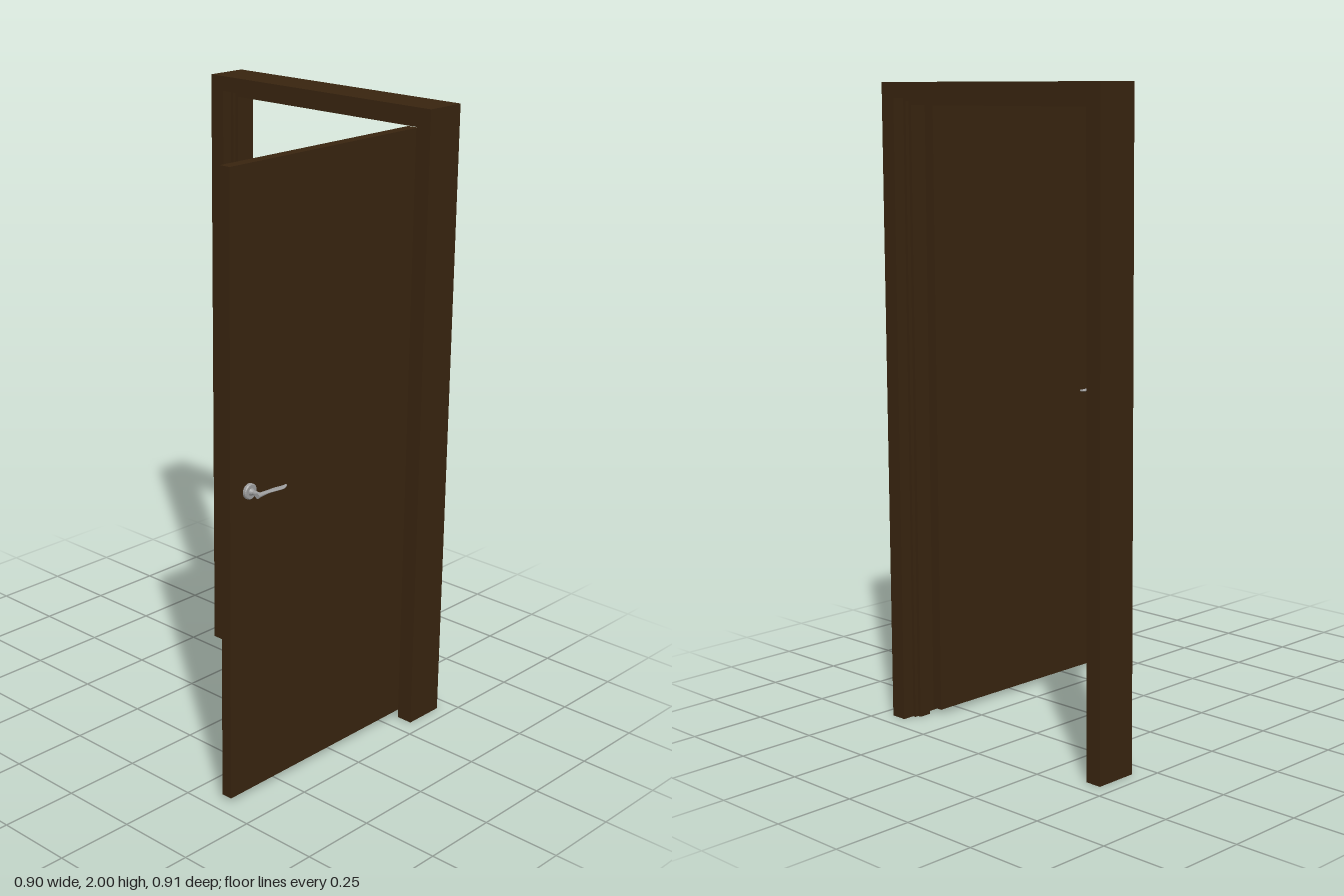
import * as THREE from 'three';

const wood = new THREE.MeshStandardMaterial({ color: 0x38240f });
wood.name = 'dark wood';
const steel = new THREE.MeshStandardMaterial({ color: 0x9c9c9c });
steel.name = 'brushed steel';

function add(parent, name, geometry, material) {
  const mesh = new THREE.Mesh(geometry, material);
  mesh.name = name;
  parent.add(mesh);
  return mesh;
}

// Upside-down U in the z-y plane, extruded along x from x0 to x1
function portal(outer, top, inner, innerTop, x0, x1) {
  const shape = new THREE.Shape([
    [-outer, 0], [-inner, 0], [-inner, innerTop], [inner, innerTop],
    [inner, 0], [outer, 0], [outer, top], [-outer, top],
  ].map(([a, b]) => new THREE.Vector2(a, b)));
  const g = new THREE.ExtrudeGeometry(shape, { depth: x1 - x0, bevelEnabled: false });
  return g.rotateY(Math.PI / 2).translate(x0, 0, 0);
}

// Lever: a tube along x whose section widens into a paddle and ends round
function leverGeometry() {
  const length = 0.12, rings = 20;
  const g = new THREE.CylinderGeometry(1, 1, 1, 16, rings).rotateZ(-Math.PI / 2);
  const p = g.attributes.position;
  const widths = new THREE.SplineCurve([
    [0, 0.009], [0.2, 0.0075], [0.4, 0.009], [0.7, 0.0115], [0.88, 0.009], [1, 0.003],
  ].map(([a, b]) => new THREE.Vector2(a, b)));
  for (let i = 0; i < p.count; i++) {
    const t = THREE.MathUtils.clamp(p.getX(i) + 0.5, 0, 1);
    const s = widths.getPoint(t);
    const half = THREE.MathUtils.lerp(0.008, 0.0035, Math.min(1, t * 2.5));
    const wave = 0.003 * Math.sin(t * Math.PI * 2) * t;
    p.setXYZ(i, s.x * length, p.getY(i) * half + wave, p.getZ(i) * s.y);
  }
  g.computeVertexNormals();
  return g;
}

// One handle, with the door surface at z = 0 and the lever standing out along +z
function createHandle(name) {
  const handle = new THREE.Group();
  handle.name = name;
  const rose = [[0, 0], [0.024, 0], [0.024, 0.008], [0.021, 0.011], [0.011, 0.011], [0.009, 0.015],
    [0.007, 0.02], [0.007, 0.046], [0, 0.046]].map(([r, h]) => new THREE.Vector2(r, h));
  const base = new THREE.LatheGeometry(rose, 24).rotateX(Math.PI / 2).toNonIndexed();
  base.computeVertexNormals();
  add(handle, 'roseAndNeck', base, steel);
  add(handle, 'lever', leverGeometry(), steel).position.set(-0.012, 0, 0.045);
  return handle;
}

export function createModel() {
  const model = new THREE.Group();
  model.name = 'openDoor';

  // Frame lining with a stepped door stop inside it
  const frame = new THREE.Group();
  frame.name = 'doorFrame';
  add(frame, 'frameLining', portal(0.453, 2, 0.4, 1.953, 0.31, 0.447), wood);
  add(frame, 'stopBase', portal(0.4, 1.953, 0.39, 1.944, 0.346, 0.408), wood);
  add(frame, 'stopLip', portal(0.39, 1.944, 0.379, 1.931, 0.356, 0.396), wood);
  model.add(frame);

  // Door leaf swung open at a right angle to the frame
  const door = new THREE.Group();
  door.name = 'door';
  const leaf = add(door, 'doorLeaf', new THREE.BoxGeometry(0.785, 1.92, 0.036), wood);
  leaf.position.set(-0.0575, 0.975, 0.367);

  // Matching handles on both faces
  const front = createHandle('frontHandle');
  front.position.set(-0.375, 0.988, 0.385);
  const back = createHandle('backHandle');
  back.position.set(-0.375, 0.988, 0.349);
  // Mirror the rear handle so both levers point towards the hinge
  back.scale.z = -1;
  door.add(front, back);
  model.add(door);

  return model;
}
